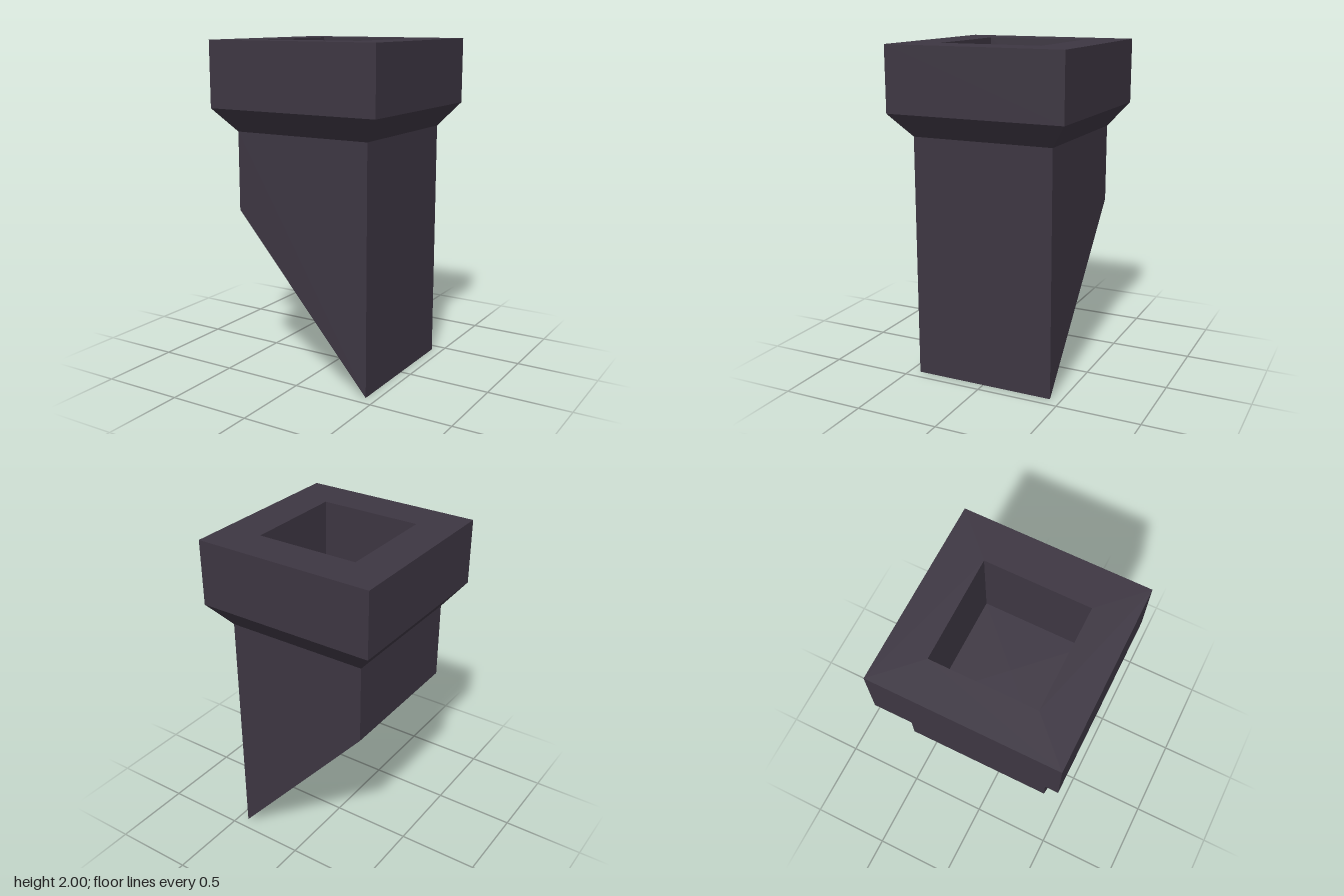
import * as THREE from 'three';

export function createModel() {
  const group = new THREE.Group();
  const stone = new THREE.MeshStandardMaterial({ color: 0x3d3642, flatShading: true });
  stone.name = 'dark stone';

  const add = (name, geometry) => {
    const flat = geometry.index ? geometry.toNonIndexed() : geometry;
    flat.computeVertexNormals();
    const mesh = new THREE.Mesh(flat, stone);
    mesh.name = name;
    group.add(mesh);
  };

  // Square shaft with a slanted foot, its top hidden inside the collar
  const r = 0.435, top = 1.47;
  const side = new THREE.Shape([
    new THREE.Vector2(r, 0),
    new THREE.Vector2(r, top),
    new THREE.Vector2(-r, top),
    new THREE.Vector2(-r, 1),
  ]);
  const shaft = new THREE.ExtrudeGeometry(side, { depth: 2 * r, bevelEnabled: false });
  shaft.translate(0, 0, -r);
  add('shaft', shaft);

  // Square collar: flared underside, straight wall, rim and sunken flue with floor
  const profile = [
    [r, top], [0.545, 1.61], [0.545, 2], [0.31, 2], [0.31, 1.5], [0, 1.5],
  ].map(([halfWidth, y]) => new THREE.Vector2(halfWidth * Math.SQRT2, y));
  add('collar', new THREE.LatheGeometry(profile, 4, Math.PI / 4));

  return group;
}
